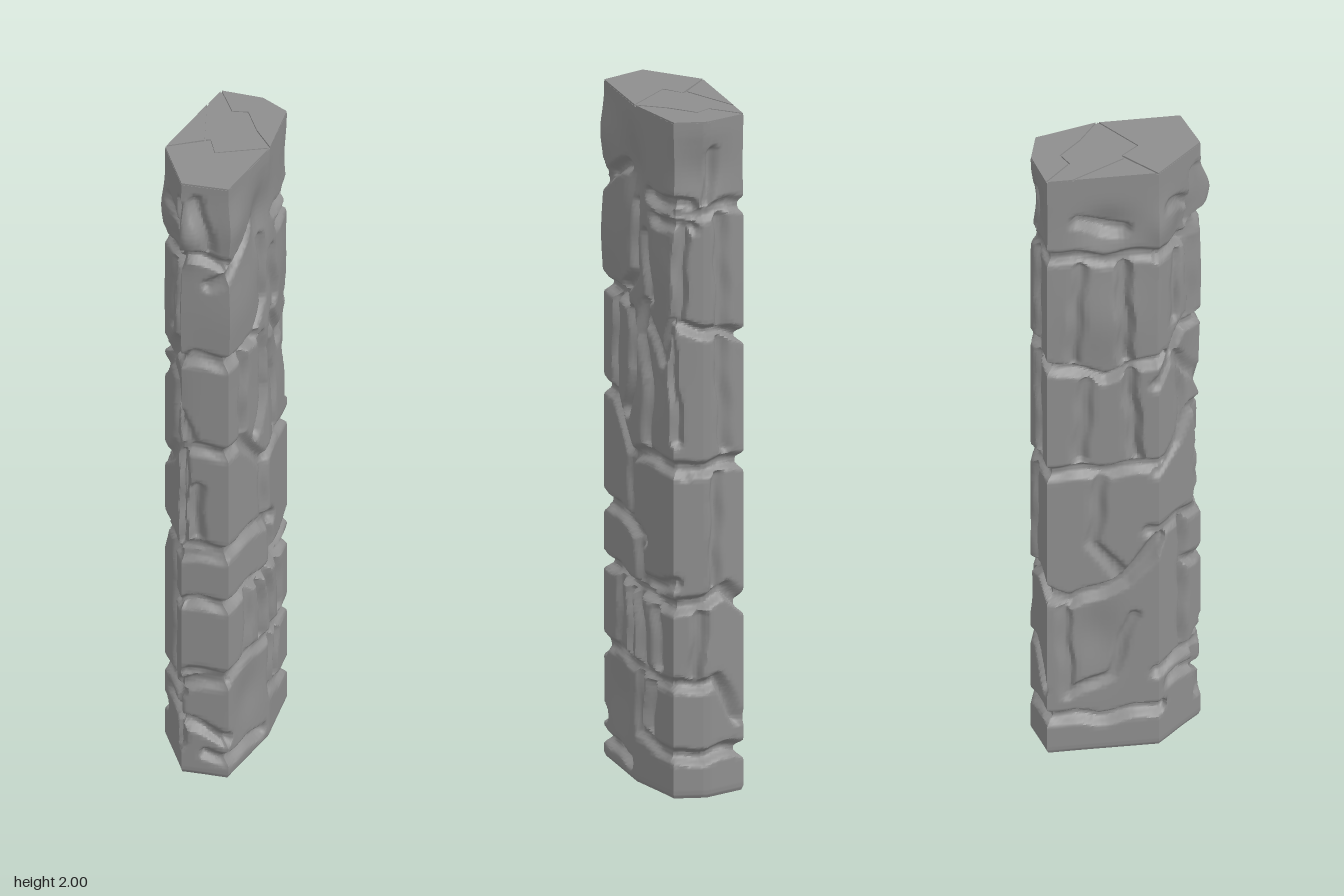
import * as THREE from 'three';
import { toCreasedNormals } from 'three/addons/utils/BufferGeometryUtils.js';

const HEIGHT = 1.995; // column below the cap slabs

// Plan outline (x, z), running counter-clockwise seen from above
const OUTLINE = [[.13, .19], [.133, -.045], [.09, -.225], [0, -.253], [-.12, -.225], [-.125, .09], [0, .226]];

// Split cap slabs (x, z)
const CAP_SLABS = [
  [[-.118, -.228], [0, -.252], [.089, -.226], [.132, -.05], [.06, -.105], [-.003, -.172], [-.045, -.154]],
  [[-.12, -.222], [-.047, -.149], [-.005, -.167], [.056, -.1], [.131, -.044], [.01, .048], [-.03, -.002], [-.042, .003], [-.121, -.155]],
  [[-.125, .089], [-.03, .002], [.009, .053], [.132, -.04], [.13, .189], [0, .225]],
  [[-.122, -.148], [-.045, .007], [-.125, .083]],
];

// Carved joints as polylines of u (distance round the outline), y
const RIGHT_JOINTS = [
  [-.12, .34, .15, .35, .42, .33], [-.12, .58, .1, .585, .42, .56], [-.12, .765, .2, .76, .27, .72],
  [.25, .74, .25, .6, .42, .63], [.11, .36, .12, .57], [.2, .37, .19, .55], [.27, .36, .24, .57],
  [.35, .38, .33, .53], [.25, .32, .25, .15, .42, .12], [.31, .3, .3, .17], [-.06, .07, .2, .05],
  [-.1, 1.1, .08, 1.1, .2, .96, .32, .99, .45, .96], [.2, .96, .2, .77], [.08, 1.12, .09, 1.38],
  [.2, 1.38, .21, 1.2, .17, 1.08], [.29, 1.02, .29, 1.2, .25, 1.32, .28, 1.42], [.28, 1.4, .36, 1.28, .42, 1.4],
  [-.1, 1.41, .16, 1.405], [.16, 1.44, .21, 1.5, .21, 1.7], [.3, 1.45, .27, 1.62],
  [-.06, 1.66, .05, 1.74], [.05, 1.74, .14, 1.79], [.3, 1.75, .47, 1.75], [.32, 1.69, .47, 1.69],
];
const BACK_LEFT_JOINTS = [
  [.42, 1.72, .6, 1.74, .8, 1.71, .97, 1.72], [.42, 1.4, .6, 1.36, .8, 1.3, .97, 1.35],
  [.43, 1.4, .44, 1.68], [.57, 1.38, .56, 1.7], [.71, 1.36, .73, 1.68], [.86, 1.35, .85, 1.68],
  [.4, 1.35, .43, 1.05], [.56, 1.34, .58, 1.02], [.75, 1.28, .73, 1.02], [.87, 1.3, .89, 1.0],
  [.42, .97, .6, .98, .8, .97, .96, .98], [.55, .94, .54, .62], [.79, .95, .77, .72, .86, .58],
  [.42, .56, .58, .6, .7, .52, .86, .58, .96, .72], [.42, .33, .55, .34, .62, .22], [.5, .54, .48, .36],
  [.68, .5, .7, .2, .82, .26, .88, .45], [.42, .12, .6, .13, .78, .11, .96, .13],
  [.72, 1.84, .85, 1.8], [.52, 1.76, .54, 1.9],
];
const FRONT_JOINTS = [
  [.93, .75, 1.13, .74, 1.27, .75], [1.06, .29, 1.06, .72], [.95, .26, 1.13, .27], [1.13, .3, 1.27, .33],
  [1.13, .1, 1.12, .3], [1.13, .18, 1.27, .13], [1.0, .2, 1.12, .2], [1.06, .58, 1.12, .57],
  [.95, .96, 1.03, 1.01, 1.1, 1.1, 1.27, 1.1], [1.13, .78, 1.14, 1.08], [1.18, .8, 1.18, .96],
  [1.06, 1.05, 1.06, 1.28], [.95, 1.26, 1.0, 1.33, 1.13, 1.21, 1.16, 1.12],
  [1.0, 1.33, 1.08, 1.42], [1.06, 1.4, 1.27, 1.4], [1.1, 1.43, 1.1, 1.7], [1.02, 1.45, 1.03, 1.66],
  [.95, 1.71, 1.1, 1.7, 1.15, 1.76, 1.27, 1.74], [1.11, 1.76, 1.12, 1.92],
  [1.22, 1.78, 1.18, 1.94], [1.0, 1.86, 1.1, 1.82],
];
// Soft swellings and hollows: u, y, radius in u, radius in y, height
const SWELLS = [
  [1.16, 1.83, .04, .07, .034], [.8, 1.5, .1, .13, .018], [.05, 1.55, .13, .12, .01],
  [.2, 1.79, .06, .1, -.03], [.03, 1.85, .06, .07, .014], [.8, 1.82, .07, .06, -.02],
  [.98, 1.8, .05, .07, .018], [.22, 1.55, .06, .14, -.014], [.3, 1.25, .1, .12, -.01],
  [.12, .22, .07, .08, -.01], [1.08, 1.25, .06, .12, -.012], [.5, 1.85, .1, .08, -.014],
  [.78, .4, .06, .1, -.014], [1.06, 1.74, .06, .09, -.016], [.35, 1.55, .06, .1, .006],
];

// Joints split into single segments with slightly varied width and depth
const segments = [];
[...RIGHT_JOINTS, ...BACK_LEFT_JOINTS, ...FRONT_JOINTS].forEach((line, k) => {
  for (let i = 0; i + 3 < line.length; i += 2) {
    segments.push({ p: line.slice(i, i + 4), width: .003 + .004 * (k * 7 % 5) / 4, depth: .018 + .012 * (k * 3 % 4) / 3 });
  }
});

function segmentDistance(u, y, [u0, y0, u1, y1]) {
  const du = u1 - u0, dy = y1 - y0;
  const t = THREE.MathUtils.clamp(((u - u0) * du + (y - y0) * dy) / (du * du + dy * dy), 0, 1);
  return Math.hypot(u - u0 - t * du, y - y0 - t * dy);
}

// Height of the stone face above (+) or below (-) the plain outline
function relief(u, y, perimeter) {
  let cut = 0, swell = 0;
  const wobbleU = u + .004 * Math.sin(y * 37), wobbleY = y + .005 * Math.sin(u * 41);
  for (const shift of [-perimeter, 0, perimeter]) {
    for (const s of segments) {
      const d = segmentDistance(wobbleU + shift, wobbleY, s.p);
      if (d < .04) cut = Math.max(cut, s.depth * (1 - THREE.MathUtils.smoothstep(d, s.width, s.width + .024)));
    }
    for (const [su, sy, ru, ry, h] of SWELLS) {
      swell += h * Math.exp(-(((u + shift - su) / ru) ** 2) - ((y - sy) / ry) ** 2);
    }
  }
  const edge = Math.min(1, y / .03, (HEIGHT - y) / .06);
  const foot = -.006 * Math.max(0, 1 - y / .012);
  return (swell - cut) * edge + foot;
}

// Evenly spaced points round the outline, keeping its corners
function outlinePoints(step) {
  const points = [];
  let u = 0;
  OUTLINE.forEach(([x0, z0], i) => {
    const [x1, z1] = OUTLINE[(i + 1) % OUTLINE.length];
    const length = Math.hypot(x1 - x0, z1 - z0), n = Math.round(length / step);
    for (let k = 0; k < n; k++) {
      const t = k / n;
      points.push({ x: x0 + (x1 - x0) * t, z: z0 + (z1 - z0) * t, u: u + length * t });
    }
    u += length;
  });
  return { points, perimeter: u };
}

function columnGeometry() {
  const { points, perimeter } = outlinePoints(.0072);
  const rows = 310, n = points.length, positions = [], index = [];
  for (let j = 0; j <= rows; j++) {
    const y = HEIGHT * j / rows;
    for (const { x, z, u } of points) {
      // Push towards or away from a short spine inside the pillar
      const spine = THREE.MathUtils.clamp(z, -.12, .12), r = Math.hypot(x, z - spine);
      const h = relief(u, y, perimeter);
      positions.push(x + h * x / r, y, z + h * (z - spine) / r);
    }
  }
  for (let j = 0; j < rows; j++) {
    for (let i = 0; i < n; i++) {
      const a = j * n + i, b = j * n + (i + 1) % n;
      index.push(a, b, b + n, a, b + n, a + n);
    }
  }
  // Flat ends
  const bottom = positions.length / 3, top = bottom + 1, last = rows * n;
  positions.push(0, 0, 0, 0, HEIGHT, 0);
  for (let i = 0; i < n; i++) {
    const k = (i + 1) % n;
    index.push(k, i, bottom, last + i, last + k, top);
  }
  const geometry = new THREE.BufferGeometry();
  geometry.setAttribute('position', new THREE.Float32BufferAttribute(positions, 3));
  geometry.setIndex(index);
  return toCreasedNormals(geometry, .75);
}

export function createModel() {
  const group = new THREE.Group();
  group.name = 'stonePillar';
  const stone = new THREE.MeshStandardMaterial({ color: 0x8e8e8e });
  const add = (geometry, name) => {
    const mesh = new THREE.Mesh(geometry, stone);
    mesh.name = name;
    group.add(mesh);
    return mesh;
  };

  add(columnGeometry(), 'carvedColumn');

  // Thin slabs whose gaps read as cracks across the flat top
  CAP_SLABS.forEach((corners, i) => {
    const shape = new THREE.Shape(corners.map(([x, z]) => new THREE.Vector2(x, -z)));
    const slab = new THREE.ExtrudeGeometry(shape, { depth: 2 - HEIGHT, bevelEnabled: false });
    add(slab.rotateX(-Math.PI / 2), `capSlab${i + 1}`).position.y = HEIGHT;
  });
  return group;
}
